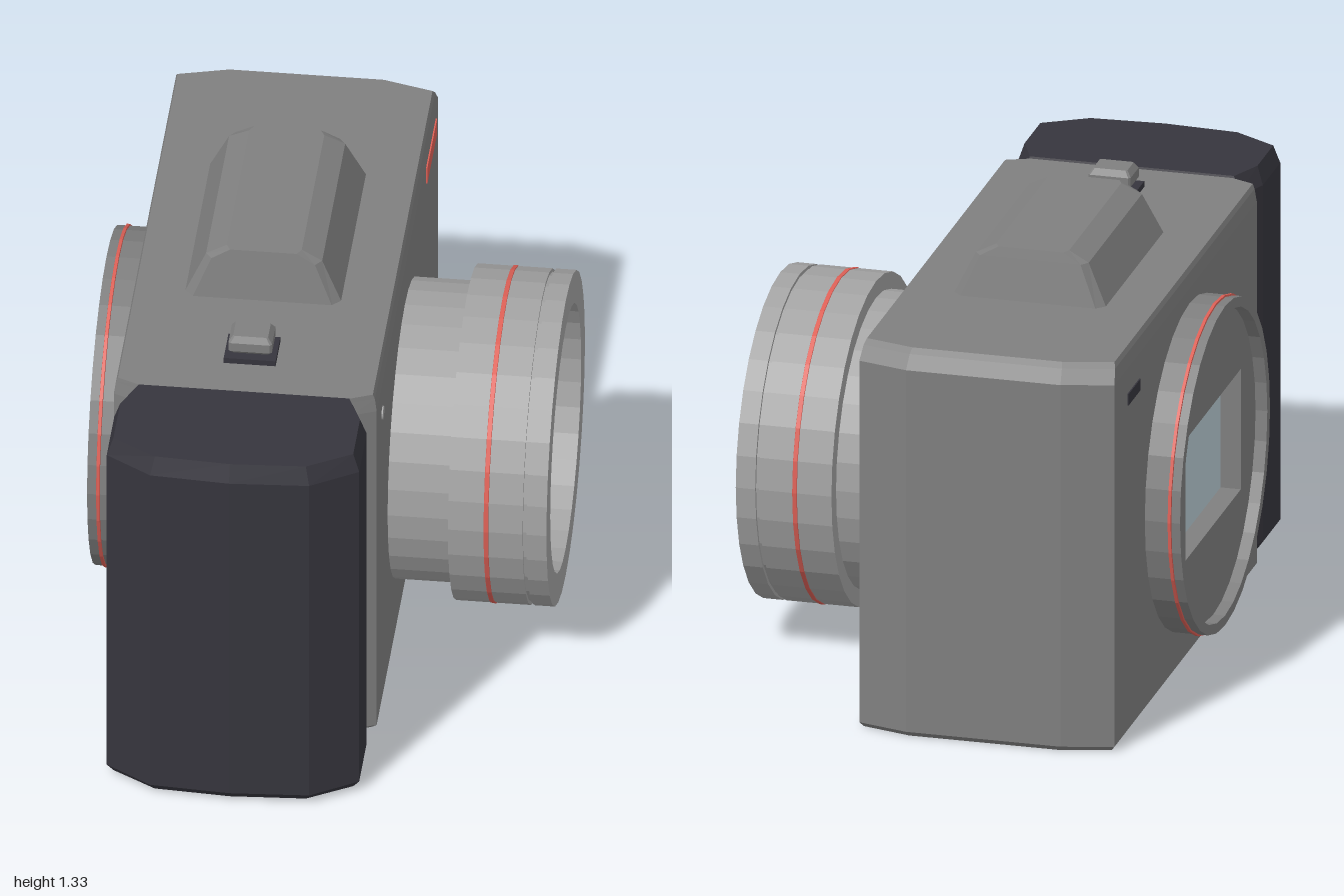
import * as THREE from 'three';

const material = (name, color) => {
  const m = new THREE.MeshStandardMaterial({ color, flatShading: true });
  m.name = name;
  return m;
};

// Stack of scaled copies of a plan outline, closed at both ends.
// outline: [x, z] points; levels: [y, xScale, zScale, zShift]
function loft(outline, levels, cx, cz) {
  const rings = levels.map(([y, sx, sz, dz = 0]) =>
    outline.map(([x, z]) => [cx + (x - cx) * sx, y, cz + (z - cz) * sz + dz]));
  const pos = [];
  const tri = (...p) => p.forEach((v) => pos.push(...v));
  const n = outline.length;
  const last = rings.length - 1;
  for (let j = 0; j < n; j++) {
    const k = (j + 1) % n;
    for (let i = 0; i < last; i++) {
      tri(rings[i][j], rings[i][k], rings[i + 1][k]);
      tri(rings[i][j], rings[i + 1][k], rings[i + 1][j]);
    }
    tri([cx, levels[last][0], cz], rings[last][j], rings[last][k]);
    tri([cx, levels[0][0], cz], rings[0][k], rings[0][j]);
  }
  const g = new THREE.BufferGeometry();
  g.setAttribute('position', new THREE.Float32BufferAttribute(pos, 3));
  g.computeVertexNormals();
  return g;
}

// Rectangle with cut corners
const cutRect = (cx, cz, hx, hz, c) => [
  [-hx + c, hz], [hx - c, hz], [hx, hz - c], [hx, -hz + c],
  [hx - c, -hz], [-hx + c, -hz], [-hx, -hz + c], [-hx, hz - c],
].map(([x, z]) => [x + cx, z + cz]);

export function createModel() {
  const group = new THREE.Group();
  group.name = 'camera';
  const body = material('body grey', 0x7f7f7f);
  const silver = material('lens silver', 0xa2a2a2);
  const dark = material('grip charcoal', 0x36353d);
  const inner = material('inner lens grey', 0x5a5a63);
  const red = material('accent red', 0xdd6056);
  const glass = material('pale glass', 0xbacdd4);

  const add = (name, geometry, mat, parent = group) => {
    const mesh = new THREE.Mesh(geometry, mat);
    mesh.name = name;
    parent.add(mesh);
    return mesh;
  };
  const box = (name, mat, w, h, d, x, y, z) =>
    add(name, new THREE.BoxGeometry(w, h, d), mat).position.set(x, y, z);
  const turned = (name, mat, points, parent) =>
    add(name, new THREE.LatheGeometry(points.map(([r, y]) => new THREE.Vector2(r, y)), 32), mat, parent);

  // Main body with bevelled top and bottom
  const bodyPlan = [
    [-0.49, 0.62], [0.13, 0.62], [0.2, 0.59], [0.2, -0.96],
    [0.05, -1], [-0.41, -1], [-0.56, -0.96], [-0.56, 0.59],
  ];
  add('body', loft(bodyPlan, [
    [0, 0.97, 0.985], [0.015, 1, 1], [1.125, 1, 1], [1.165, 0.985, 0.98, 0.012], [1.18, 0.97, 0.97, 0.02],
  ], -0.18, -0.19), body);

  // Hand grip with a narrow neck
  const gripPlan = [
    [-0.41, 0.985], [-0.18, 1], [0.05, 0.985], [0.185, 0.9], [0.185, 0.71],
    [0.14, 0.6], [-0.5, 0.6], [-0.545, 0.71], [-0.545, 0.9],
  ];
  add('grip', loft(gripPlan, [
    [0.01, 0.95, 0.9], [0.035, 1, 1], [1.13, 1, 1], [1.185, 0.95, 0.9],
  ], -0.18, 0.8), dark);

  // Viewfinder hump
  add('viewfinderHump', loft(cutRect(-0.18, -0.175, 0.23, 0.34, 0.025), [
    [1.17, 1, 1], [1.3, 0.73, 0.92], [1.33, 0.47, 0.9],
  ], -0.18, -0.175), body);

  // Shutter button on its plate
  box('shutterPlate', dark, 0.15, 0.025, 0.12, -0.18, 1.185, 0.42);
  box('shutterStem', body, 0.09, 0.02, 0.05, -0.18, 1.2, 0.42);
  add('shutterButton', loft(cutRect(-0.18, 0.42, 0.063, 0.05, 0.006), [
    [1.203, 0.85, 0.75], [1.216, 1, 1], [1.244, 1, 1], [1.262, 0.8, 0.75],
  ], -0.18, 0.42), body);

  // Small details on the two large faces
  box('redWindow', red, 0.008, 0.055, 0.245, 0.2, 1.07, -0.775);
  box('rearSlot', dark, 0.008, 0.035, 0.13, -0.56, 1.03, -0.755);
  const lamp = add('lamp', new THREE.CylinderGeometry(0.02, 0.02, 0.008, 16), silver);
  lamp.rotation.z = -Math.PI / 2;
  lamp.position.set(0.2, 1.02, 0.45);

  // Lens, turned about the x axis
  const lens = new THREE.Group();
  lens.name = 'lens';
  lens.rotation.z = -Math.PI / 2;
  lens.position.set(0, 0.56, -0.12);
  group.add(lens);
  turned('lensBarrel', silver, [[0.435, 0.19], [0.435, 0.38], [0.485, 0.38], [0.485, 0.483]], lens);
  turned('lensStripe', red, [[0.485, 0.483], [0.487, 0.484], [0.487, 0.496], [0.485, 0.497]], lens);
  turned('lensRim', silver, [
    [0.485, 0.497], [0.485, 0.596], [0.475, 0.596], [0.475, 0.607],
    [0.485, 0.607], [0.485, 0.665], [0.39, 0.665], [0.39, 0.56],
  ], lens);
  turned('lensInterior', inner, [
    [0.39, 0.56], [0.365, 0.52], [0.31, 0.52], [0.31, 0.48], [0.158, 0.48], [0.095, 0.22],
  ], lens);
  turned('lensGlass', glass, [[0.096, 0.22], [0, 0.22]], lens);

  // Round rear display housing
  const rear = new THREE.Group();
  rear.name = 'rearHousing';
  rear.rotation.z = Math.PI / 2;
  rear.position.set(0, 0.59, -0.14);
  group.add(rear);
  turned('rearRing', body, [[0.49, 0.55], [0.49, 0.628]], rear);
  turned('rearStripe', red, [[0.49, 0.628], [0.495, 0.629], [0.495, 0.638], [0.49, 0.639]], rear);
  turned('rearRim', body, [[0.49, 0.639], [0.49, 0.665], [0.46, 0.665], [0.46, 0.625]], rear);

  // Rear panel with a rectangular screen opening
  const panelShape = new THREE.Shape().absarc(0, 0, 0.465, 0, Math.PI * 2);
  panelShape.holes.push(new THREE.Path([
    [-0.3, -0.185], [-0.3, 0.185], [0.3, 0.185], [0.3, -0.185],
  ].map(([x, y]) => new THREE.Vector2(x, y))));
  const panel = add('rearPanel', new THREE.ExtrudeGeometry(panelShape,
    { depth: 0.07, bevelEnabled: false, curveSegments: 32 }), body);
  panel.rotation.y = -Math.PI / 2;
  panel.position.set(-0.56, 0.59, -0.14);
  box('screen', glass, 0.009, 0.37, 0.6, -0.565, 0.59, -0.14);

  return group;
}
